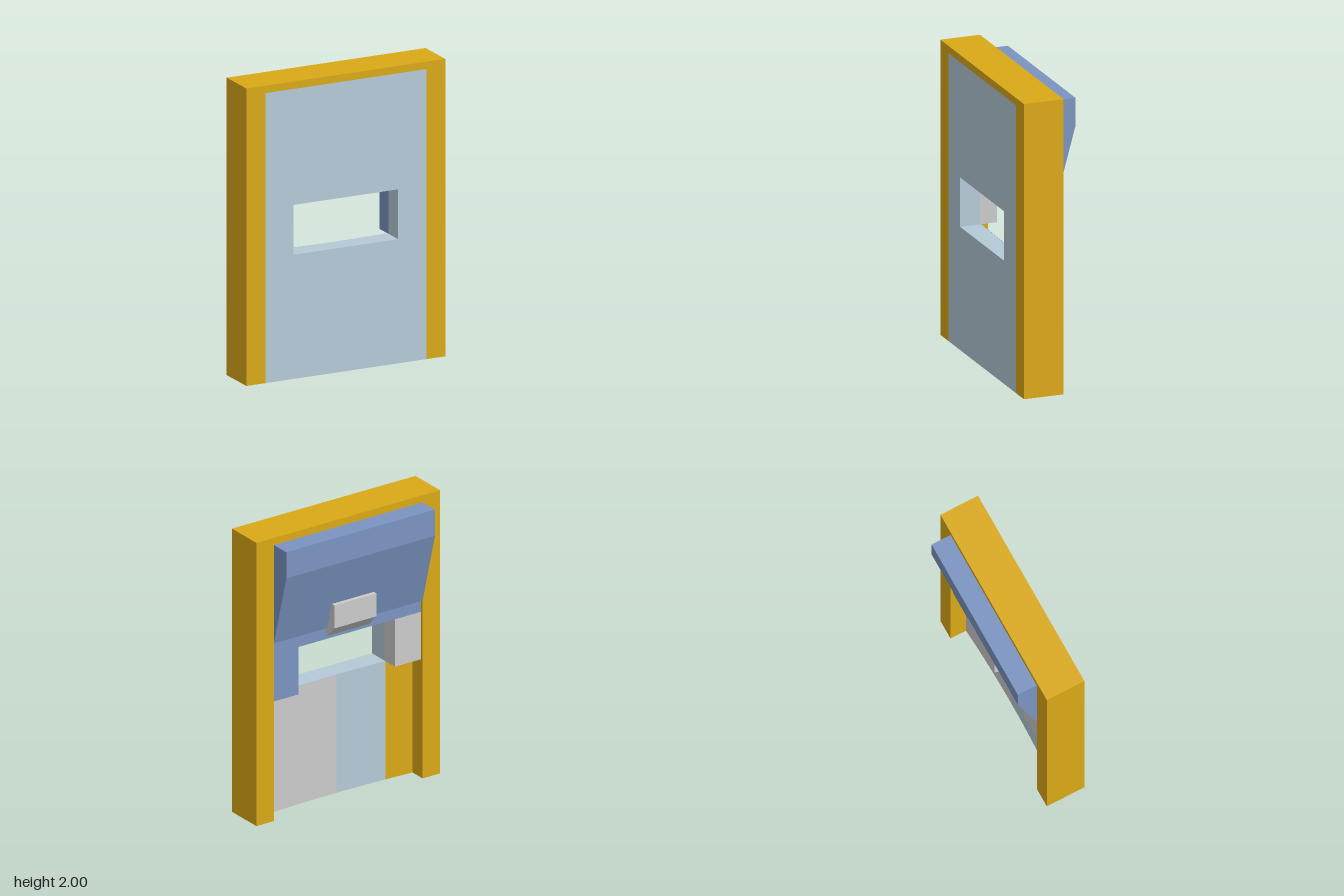
import * as THREE from 'three';

const YELLOW = 0xdaa917, BLUE = 0x7a94c1, PALE = 0xb4cad7, GREY = 0xcccccc;
const FRONT = 0.207, BACK = -0.068;   // frame depth
const HALF = 0.585;                   // half width between the posts
const SLOT = { x: 0.38, y0: 0.835, y1: 1.17 };
const PANEL_BACK = 0.07, BLOCK_BACK = -0.05;

export function createModel() {
  const model = new THREE.Group();

  const add = (name, geometry, color) => {
    const mesh = new THREE.Mesh(geometry, new THREE.MeshStandardMaterial({ color }));
    mesh.name = name;
    model.add(mesh);
    return mesh;
  };
  const shapeOf = (pts) => new THREE.Shape(pts.map(([a, b]) => new THREE.Vector2(a, b)));
  const extrude = (shape, depth) =>
    new THREE.ExtrudeGeometry(shape, { depth, bevelEnabled: false });

  // Side profile of [z, y] points, extruded across x and centred
  const acrossX = (pts, width) =>
    extrude(shapeOf(pts), width).rotateY(-Math.PI / 2).translate(width / 2, 0, 0);

  // Frame: two posts and a thin header
  const frame = shapeOf([
    [-0.722, 0], [-HALF, 0], [-HALF, 1.95], [HALF, 1.95],
    [HALF, 0], [0.722, 0], [0.722, 2], [-0.722, 2],
  ]);
  add('frame', extrude(frame, FRONT - BACK).translate(0, 0, BACK), YELLOW);

  // Front panel with the rectangular slot
  const panel = shapeOf([[-HALF, 0], [HALF, 0], [HALF, 1.95], [-HALF, 1.95]]);
  panel.holes.push(new THREE.Path([
    [-SLOT.x, SLOT.y0], [-SLOT.x, SLOT.y1], [SLOT.x, SLOT.y1], [SLOT.x, SLOT.y0],
  ].map(([x, y]) => new THREE.Vector2(x, y))));
  add('frontPanel', extrude(panel, FRONT - PANEL_BACK).translate(0, 0, PANEL_BACK), PALE);

  // Lower backing with a gently hollowed rear face
  const hollow = (x) => 0.067 - 0.02 * (x / HALF) ** 2;
  const plan = [[-HALF, -PANEL_BACK], [HALF, -PANEL_BACK]];
  plan.reverse();
  for (let i = 0; i <= 24; i++) {
    const x = -HALF + (2 * HALF * i) / 24;
    plan.push([x, -hollow(x)]);
  }
  add('lowerBacking', extrude(shapeOf(plan), SLOT.y0).rotateX(-Math.PI / 2), PALE);

  // Coloured facings that follow the hollow
  const facing = (name, x0, x1, color) => {
    const geometry = new THREE.PlaneGeometry(x1 - x0, SLOT.y0, 12, 1)
      .rotateY(Math.PI).translate((x0 + x1) / 2, SLOT.y0 / 2, 0);
    const p = geometry.attributes.position;
    for (let i = 0; i < p.count; i++) p.setZ(i, hollow(p.getX(i)) - 0.002);
    geometry.computeVertexNormals();
    add(name, geometry, color).material.side = THREE.DoubleSide;
  };
  facing('leftFacing', 0, HALF, GREY);
  facing('middleFacing', -SLOT.x, 0, PALE);
  facing('rightFacing', -HALF, -SLOT.x, YELLOW);

  // Blocks on both sides of the slot
  for (const [name, side, color] of [['leftBlock', 1, BLUE], ['rightBlock', -1, GREY]]) {
    const block = new THREE.BoxGeometry(HALF - SLOT.x, SLOT.y1 - SLOT.y0, PANEL_BACK - BLOCK_BACK);
    block.translate(side * (HALF + SLOT.x) / 2, (SLOT.y0 + SLOT.y1) / 2, (PANEL_BACK + BLOCK_BACK) / 2);
    add(name, block, color);
  }

  // Wedge-shaped rear hood with a recessed lower lip
  add('rearHood', acrossX([
    [PANEL_BACK, SLOT.y1], [PANEL_BACK, 1.95], [-0.207, 1.95], [-0.207, 1.765],
    [BACK, 1.255], [BLOCK_BACK, 1.255], [BLOCK_BACK, SLOT.y1],
  ], 2 * HALF), BLUE);

  // Handle on the sloped hood face
  add('handle', acrossX([
    [BLOCK_BACK, 1.2], [BLOCK_BACK, 1.445], [-0.15, 1.445], [-0.15, 1.283], [BACK, 1.2],
  ], 0.33), GREY);

  return model;
}
